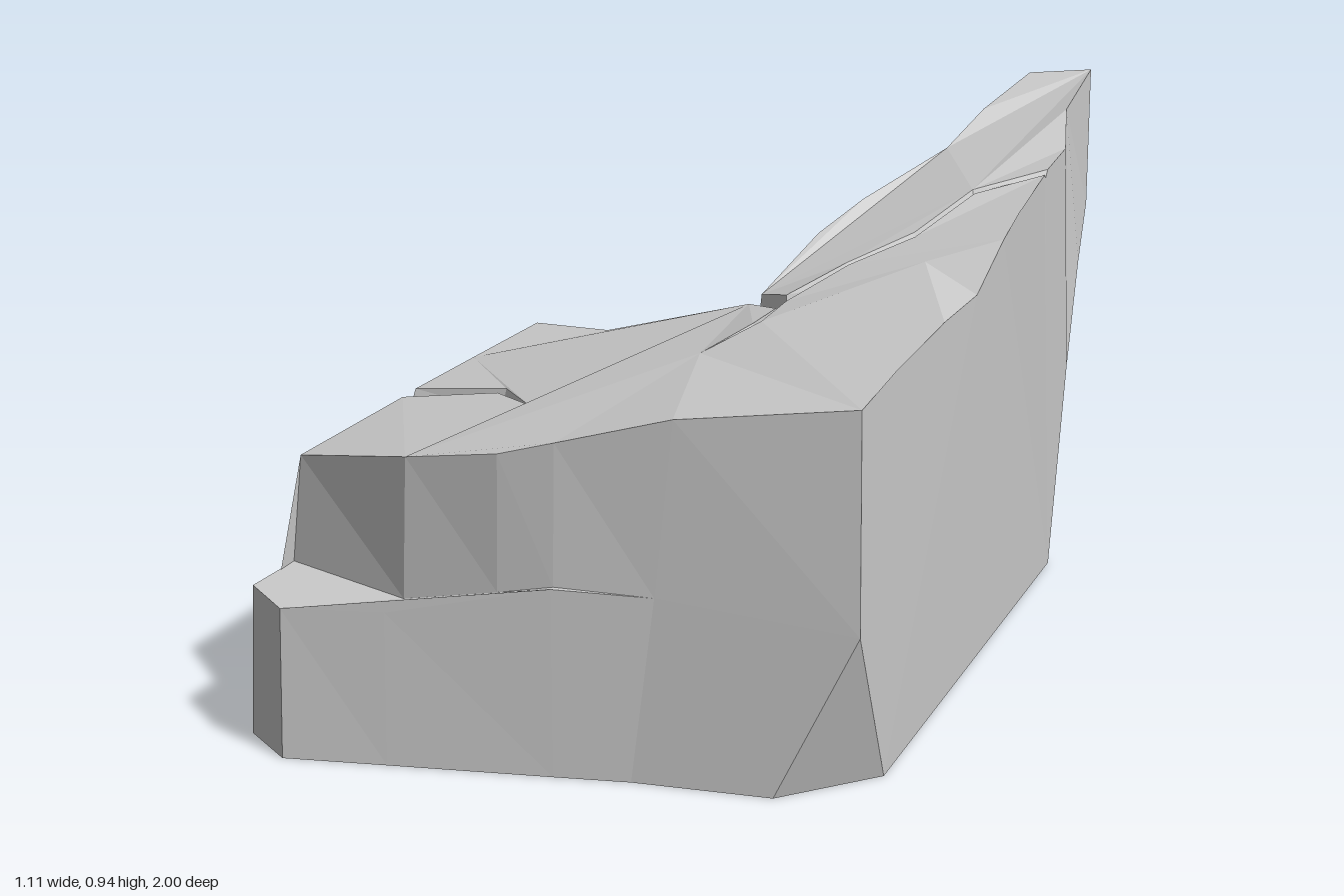
import * as THREE from 'three';

const material = new THREE.MeshStandardMaterial({ color: 0xcccccc, flatShading: true });

// Collects facets; corners run counter-clockwise as seen from outside.
function facets(name, build) {
  const pos = [];
  const tri = (a, b, c) => pos.push(...a, ...b, ...c);
  // polygon, triangulated along the main direction of its normal
  const face = (pts) => {
    const n = new THREE.Vector3();
    pts.forEach((p, i) => {
      const q = pts[(i + 1) % pts.length];
      n.x += (p[1] - q[1]) * (p[2] + q[2]);
      n.y += (p[2] - q[2]) * (p[0] + q[0]);
      n.z += (p[0] - q[0]) * (p[1] + q[1]);
    });
    const size = n.toArray().map(Math.abs);
    const drop = size.indexOf(Math.max(...size));
    const [u, v] = [0, 1, 2].filter((k) => k !== drop);
    const flat = pts.map((p) => new THREE.Vector2(p[u], p[v]));
    for (const [i, j, k] of THREE.ShapeUtils.triangulateShape(flat, [])) {
      const [a, b, c] = [pts[i], pts[j], pts[k]].map((p) => new THREE.Vector3(...p));
      const m = b.clone().sub(a).cross(c.clone().sub(a));
      if (m.dot(n) >= 0) tri(pts[i], pts[j], pts[k]);
      else tri(pts[i], pts[k], pts[j]);
    }
  };
  // wall between an upper and a lower row, both running left to right
  const strip = (top, low) => {
    for (let i = 0; i < top.length - 1; i++) {
      if (low[i] !== low[i + 1]) tri(top[i], low[i], low[i + 1]);
      if (top[i] !== top[i + 1]) tri(top[i], low[i + 1], top[i + 1]);
    }
  };
  build(face, strip);
  const geometry = new THREE.BufferGeometry();
  geometry.setAttribute('position', new THREE.Float32BufferAttribute(pos, 3));
  geometry.computeVertexNormals();
  const mesh = new THREE.Mesh(geometry, material);
  mesh.name = name;
  return mesh;
}

export function createModel() {
  // front: upper rim, inner and outer edge of the ledge
  const rim = [[-0.55, 0.44, 0.7], [-0.28, 0.5, 0.87], [-0.1, 0.53, 0.915], [0, 0.557, 0.92], [0.2, 0.61, 0.92], [0.505, 0.645, 0.91]];
  const inner = [[-0.555, 0.257, 0.73], [-0.28, 0.262, 0.89], [-0.1, 0.3, 0.925], [0, 0.32, 0.932], [0.17, 0.315, 0.926], [0.51, 0.28, 0.925]];
  const outer = [[-0.56, 0.257, 0.88], [-0.46, 0.257, 0.985], [-0.28, 0.262, 0.97], [0, 0.32, 0.945], inner[4], inner[5]];

  // outline on the ground
  const footFront = [[-0.56, 0, 0.9], [-0.46, 0, 0.995], [-0.28, 0, 0.975], [0, 0, 0.945], [0.13, 0, 0.93], [0.37, 0, 0.93]];
  const footRight = [0.515, 0, 0.78];
  const footSpur = [[0.54, 0, -0.49], [0.435, 0, -0.43], [0.14, 0, -0.46], [0.04, 0, -0.12]];
  const footBack = [[0.05, 0, -0.03], [0, 0, -0.09], [-0.26, 0, -0.11], [-0.49, 0, -0.17]];

  // rims of the right side, the overhanging spur and the back
  const rightRim = [rim[5], [0.513, 0.667, 0.72], [0.522, 0.685, 0.42], [0.53, 0.69, 0.2], [0.535, 0.755, 0], [0.54, 0.785, -0.1], [0.543, 0.822, -0.335]];
  const spurRight = [[0.545, 0.83, -0.355], [0.552, 0.85, -0.5], [0.515, 0.9, -0.7], [0.51, 0.945, -1]];
  const spurLeft = [[0.38, 0.935, -0.99], [0.33, 0.885, -0.76], [0.29, 0.825, -0.6], [0.18, 0.755, -0.35], [0.13, 0.71, -0.2], [0.075, 0.625, 0]];
  const chin = [[0.52, 0.67, -0.93], [0.37, 0.665, -0.93]];
  const cheek = [0.542, 0.58, -0.73];
  const throat = [[0.553, 0.395, -0.57], [0.39, 0.33, -0.53], [0.17, 0.39, -0.56]];
  const backRim = [[0.05, 0.605, 0], [-0.07, 0.56, -0.08], [-0.25, 0.525, -0.05], [-0.43, 0.51, -0.14]];
  const backPost = [-0.49, 0.45, -0.165];
  const leftCorner = [-0.51, 0.465, 0];

  // main crack: banks and bed
  const tip = [0.09, 0.605, 0.43];
  const leftBank = [tip, [0.147, 0.635, 0.3], [0.143, 0.63, 0.14], backRim[0]];
  const rightBank = [[0.163, 0.645, 0.14], [0.163, 0.64, 0.3], tip];
  const bed = [[0.06, 0.42, 0.03], [0.155, 0.56, 0.13], [0.158, 0.61, 0.3], tip];
  // branch crack towards the right side
  const frontBank = [rightBank[0], [0.235, 0.685, -0.03], [0.343, 0.73, -0.11], [0.42, 0.79, -0.272], rightRim[6]];
  const backBank = [spurLeft[5], [0.155, 0.65, 0.11], [0.226, 0.685, -0.048], [0.337, 0.735, -0.128], [0.413, 0.795, -0.286], spurRight[0]];
  const branchBed = [bed[1], [0.234, 0.65, -0.034], [0.342, 0.7, -0.114], [0.419, 0.765, -0.275], [0.544, 0.815, -0.34]];
  // notch in the left side
  const notchEnd = [-0.2, 0.51, 0.51];
  const notchBack = [[-0.53, 0.455, 0.24], [-0.31, 0.492, 0.335], notchEnd];
  const notchFront = [notchEnd, [-0.32, 0.488, 0.355], [-0.535, 0.45, 0.29]];
  const notchBed = [[-0.535, 0.4, 0.275], [-0.315, 0.45, 0.35], notchEnd];

  const group = new THREE.Group();
  group.name = 'rock';
  const rev = (a) => [...a].reverse();

  group.add(
    facets('topSlabs', (face) => {
      const ridge = [0.4, 0.715, 0.05];
      face([...rim.slice(0, 5), ...leftBank, ...backRim.slice(1), leftCorner, ...notchBack, ...notchFront.slice(1)]);
      face([backRim[3], backPost, leftCorner]);
      face([rim[4], ...rightRim.slice(0, 4), ridge, ...rightBank]);
      face([...rightRim.slice(3, 6), ...rev(frontBank), ridge]);
      face([...spurRight, ...spurLeft, ...backBank.slice(1, 5)]);
    }),
    facets('cracks', (face, strip) => {
      strip(leftBank, rev(bed));
      strip(rightBank, bed.slice(1));
      strip(rev(frontBank), rev(branchBed));
      strip(backBank, [bed[0], ...branchBed]);
      strip(notchBack, notchBed);
      strip(notchFront, rev(notchBed));
      face([spurLeft[5], footBack[0], backRim[0], bed[0]]);
    }),
    facets('frontWallAndLedge', (face, strip) => {
      strip(rim, inner);
      face([...rev(inner.slice(0, 5)), ...outer.slice(0, 4)]);
      strip(outer, footFront);
    }),
    facets('rightWall', (face, strip) => {
      const heel = footSpur[0];
      face([inner[5], footFront[5], footRight]);
      strip(
        [...rightRim, branchBed[4], ...spurRight.slice(0, 3), spurRight[2], spurRight[3]],
        [inner[5], footRight, footRight, footRight, heel, heel, heel, heel, heel, throat[0], throat[0], cheek, chin[0]],
      );
    }),
    facets('leftWall', (face, strip) => {
      const [back, front] = [footBack[3], footFront[0]];
      strip(
        [backPost, leftCorner, notchBack[0], notchBed[0], notchFront[2], rim[0], inner[0], outer[0]],
        [back, back, back, back, front, front, front, front],
      );
    }),
    facets('overhangingSpur', (face, strip) => {
      strip([spurRight[3], spurLeft[0]], chin);
      face([chin[0], cheek, chin[1]]);
      strip([cheek, chin[1], chin[1]], throat);
      strip(throat, footSpur.slice(0, 3));
      strip(spurLeft, [chin[1], chin[1], throat[2], throat[2], footSpur[3], footBack[0]]);
      face([throat[2], footSpur[2], footSpur[3]]);
    }),
    facets('backWall', (face, strip) => strip([...backRim, backPost], [...footBack, footBack[3]])),
    facets('underside', (face) => face(rev([...footFront, footRight, ...footSpur, ...footBack]))),
  );
  return group;
}
